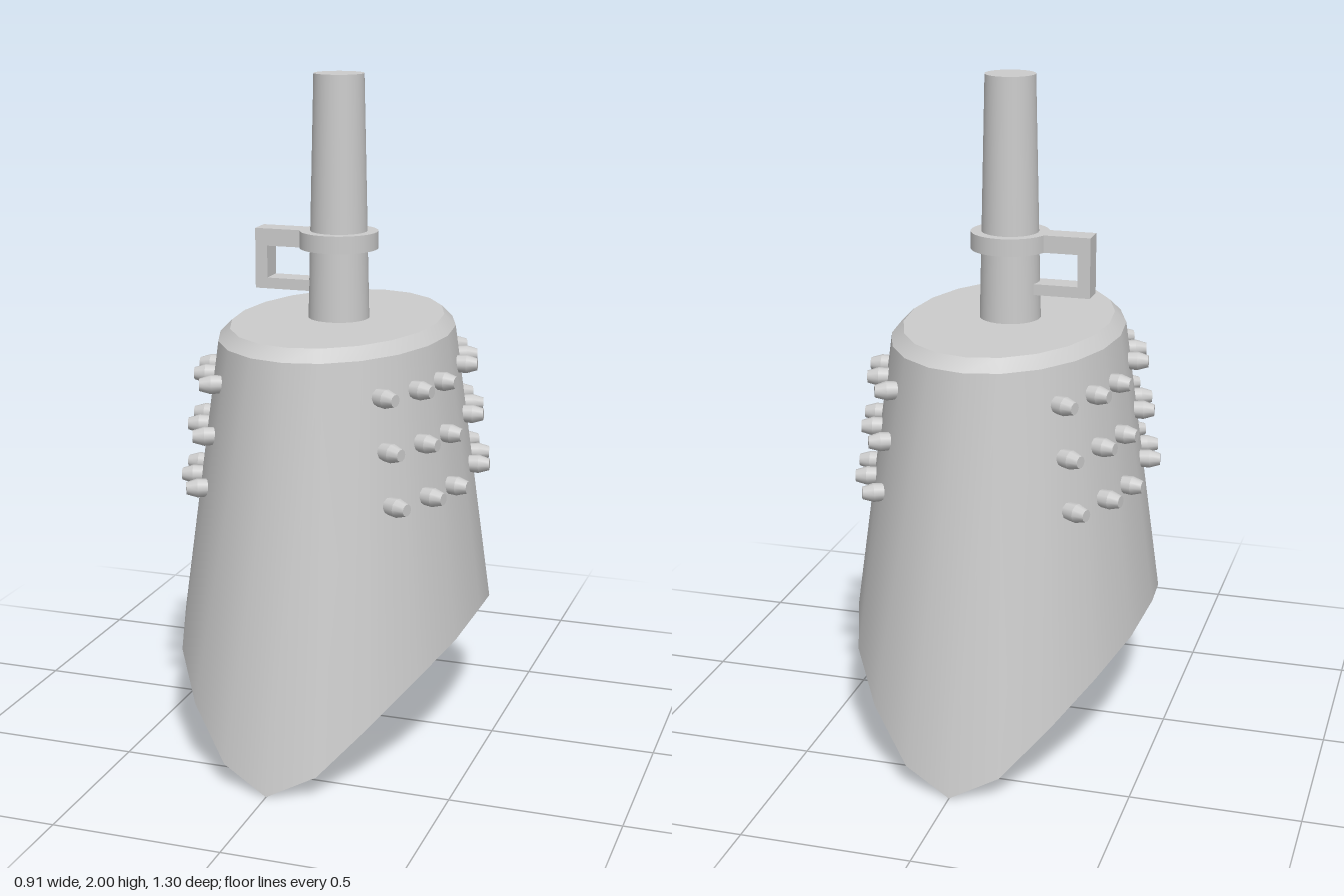
import * as THREE from 'three';
import { mergeGeometries } from 'three/addons/utils/BufferGeometryUtils.js';

const SIDES = 20;
const material = new THREE.MeshStandardMaterial({ color: 0xcccccc });

function addMesh(parent, name, geometry, x = 0, y = 0, z = 0) {
  const mesh = new THREE.Mesh(geometry, material);
  mesh.name = name;
  mesh.position.set(x, y, z);
  parent.add(mesh);
  return mesh;
}

// Oval ring; height is a number or a rule giving the height of each corner
function ring(rx, rz, height) {
  return Array.from({ length: SIDES }, (_, i) => {
    const t = (i / SIDES) * Math.PI * 2;
    const y = typeof height === 'function' ? height(i) : height;
    return [rx * Math.cos(t), y, rz * Math.sin(t)];
  });
}

// Closed smooth band between two rings
function band(a, b) {
  const index = [];
  for (let i = 0; i < SIDES; i++) {
    const j = (i + 1) % SIDES;
    index.push(i, i + SIDES, j, i + SIDES, j + SIDES, j);
  }
  const g = new THREE.BufferGeometry();
  g.setAttribute('position', new THREE.Float32BufferAttribute([...a, ...b].flat(), 3));
  g.setIndex(index);
  g.computeVertexNormals();
  return g;
}

// Arched lip: high at the sides (x), pointed down at front and back (z)
function archHeight(heights) {
  return (i) => {
    const k = i % 10;
    return heights[k <= 5 ? k : 10 - k];
  };
}

function bellGeometry() {
  const lip = ring(0.455, 0.652, archHeight([0.4, 0.367, 0.305, 0.2, 0.068, 0]));
  const innerLip = ring(0.42, 0.61, archHeight([0.4, 0.367, 0.305, 0.2, 0.085, 0.045]));
  const shoulder = ring(0.34, 0.488, 1.24);
  const top = ring(0.305, 0.45, 1.275);
  const innerTop = ring(0.305, 0.45, 1.23);
  return mergeGeometries([
    band(lip, shoulder),
    band(shoulder, top),
    band(top, ring(0, 0, 1.275)),
    band(innerLip, lip),
    band(innerTop, innerLip),
    band(ring(0, 0, 1.23), innerTop),
  ]);
}

// Blunt stud pointing along +x
function studGeometry() {
  const base = new THREE.CylinderGeometry(0.028, 0.025, 0.045, 10);
  const tip = new THREE.CylinderGeometry(0.018, 0.028, 0.033, 10);
  tip.translate(0, 0.039, 0);
  return mergeGeometries([base, tip]).rotateZ(-Math.PI / 2);
}

export function createModel() {
  const model = new THREE.Group();
  model.name = 'bell';

  addMesh(model, 'bellBody', bellGeometry());

  // Tapered handle with its collar
  addMesh(model, 'handle', new THREE.CylinderGeometry(0.075, 0.092, 0.73, 32), 0, 1.635, 0);
  addMesh(model, 'collar', new THREE.CylinderGeometry(0.118, 0.118, 0.052, 32), 0, 1.511, 0);

  // Square hanging loop on the right of the handle
  const loop = new THREE.Shape();
  loop.moveTo(-0.253, 1.355);
  loop.lineTo(-0.07, 1.355);
  loop.lineTo(-0.07, 1.388);
  loop.lineTo(-0.215, 1.388);
  loop.lineTo(-0.215, 1.485);
  loop.lineTo(-0.095, 1.485);
  loop.lineTo(-0.095, 1.537);
  loop.lineTo(-0.253, 1.537);
  const loopGeometry = new THREE.ExtrudeGeometry(loop, { depth: 0.074, bevelEnabled: false });
  addMesh(model, 'hangingLoop', loopGeometry, 0, 0, -0.037);

  // Studs: three rows of three in each quarter of the bell
  const stud = studGeometry();
  const studs = new THREE.Group();
  studs.name = 'studs';
  model.add(studs);
  const columns = [[0.115, 8], [0.24, 15], [0.362, 24]];
  [1.13, 0.975, 0.818].forEach((y, row) => {
    const rx = 0.34 + 0.137 * (1.24 - y);
    const rz = 0.488 + 0.132 * (1.24 - y);
    for (const [column, degrees] of columns) {
      const z = column * (1 + 0.02 * row);
      const x = rx * Math.sqrt(1 - (z / rz) ** 2);
      const angle = THREE.MathUtils.degToRad(degrees);
      for (const sx of [1, -1]) {
        for (const sz of [1, -1]) {
          const mesh = addMesh(studs, 'stud', stud, sx * x, y, sz * z);
          mesh.rotation.y = sx > 0 ? -sz * angle : Math.PI + sz * angle;
        }
      }
    }
  });

  return model;
}
